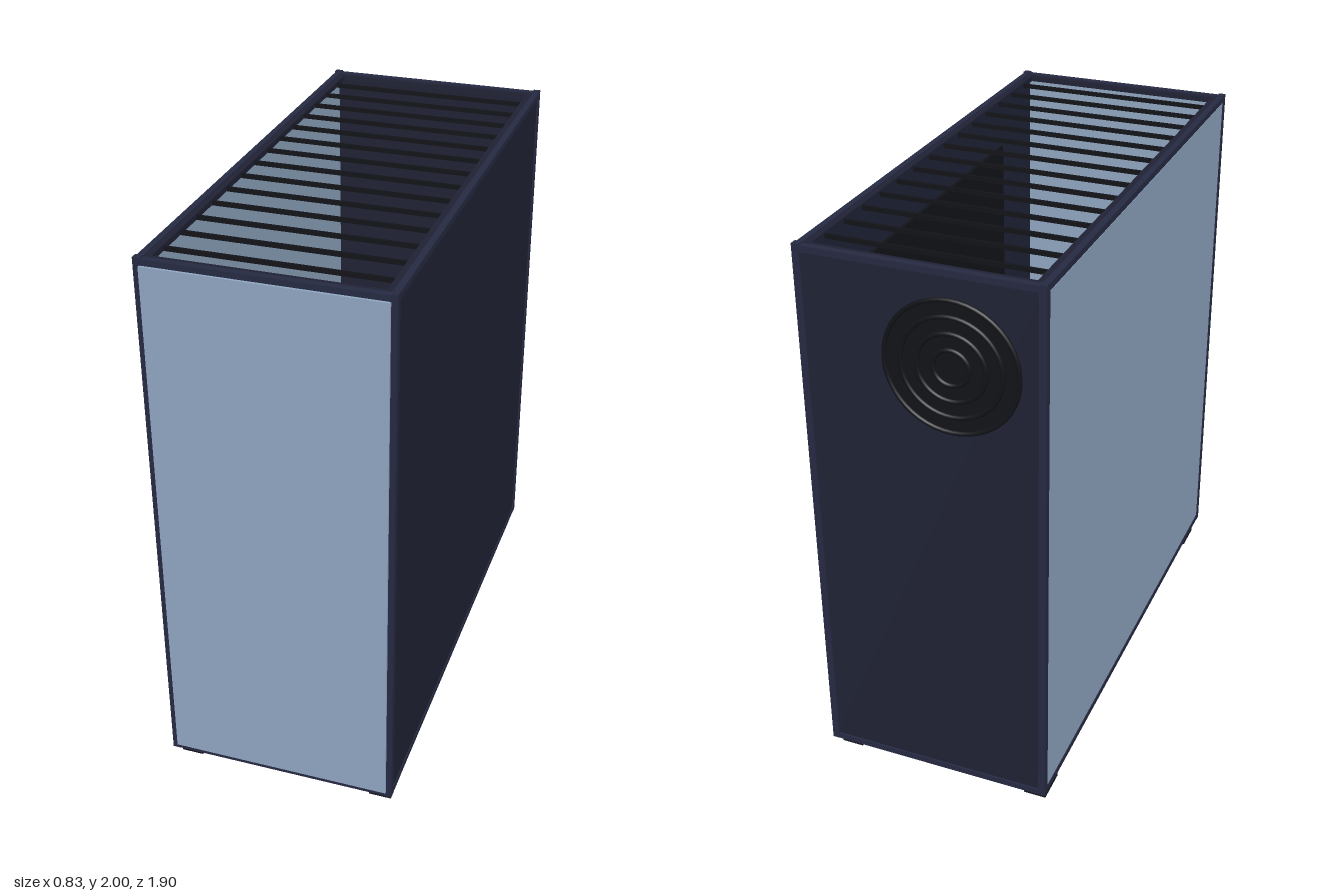
import * as THREE from 'three';

const mat = (color) => new THREE.MeshStandardMaterial({ color });

export function createModel() {
  const model = new THREE.Group();
  const panel = mat(0x1f2235), frame = mat(0x262a42), black = mat(0x121318), glass = mat(0x8fa5c0);

  const add = (name, geometry, material, x, y, z) => {
    const mesh = new THREE.Mesh(geometry, material);
    mesh.name = name;
    mesh.position.set(x, y, z);
    model.add(mesh);
    return mesh;
  };
  // Box given by its lower and upper limits on each axis
  const box = (name, material, [x0, x1], [y0, y1], [z0, z1]) =>
    add(name, new THREE.BoxGeometry(x1 - x0, y1 - y0, z1 - z0), material,
      (x0 + x1) / 2, (y0 + y1) / 2, (z0 + z1) / 2);

  // Solid panels: floor, back and the left side
  box('floorPanel', panel, [-0.4, 0.4], [0.05, 0.075], [-0.93, 0.93]);
  box('backPanel', panel, [-0.4, 0.4], [0.06, 1.98], [-0.935, -0.915]);
  box('leftPanel', panel, [0.39, 0.41], [0.06, 1.98], [-0.93, 0.93]);

  // Glass front and right side
  box('frontGlass', glass, [-0.395, 0.395], [0.07, 1.975], [0.925, 0.95]);
  box('rightGlass', glass, [-0.412, -0.395], [0.075, 1.97], [-0.92, 0.92]);

  // Corner posts and the edge rails between them
  for (const x of [-0.4025, 0.4025]) {
    for (const z of [-0.93, 0.93])
      add('cornerPost', new THREE.BoxGeometry(0.025, 1.95, 0.025), frame, x, 1.025, z);
    for (const y of [0.06, 1.985])
      add('sideRail', new THREE.BoxGeometry(0.022, 0.022, 1.86), frame, x, y, 0);
  }
  for (const z of [-0.93, 0.93])
    for (const y of [0.06, 1.985])
      add('crossRail', new THREE.BoxGeometry(0.8, 0.022, 0.022), frame, 0, y, z);

  // Top rim with an open middle
  const rim = new THREE.Shape([[-0.4, -0.93], [0.4, -0.93], [0.4, 0.93], [-0.4, 0.93]]
    .map(([x, y]) => new THREE.Vector2(x, y)));
  rim.holes.push(new THREE.Path([[-0.37, -0.9], [-0.37, 0.9], [0.37, 0.9], [0.37, -0.9]]
    .map(([x, y]) => new THREE.Vector2(x, y))));
  const rimGeometry = new THREE.ExtrudeGeometry(rim, { depth: 0.02, bevelEnabled: false });
  add('topRim', rimGeometry.rotateX(-Math.PI / 2), panel, 0, 1.973, 0);

  // Vent slats across the top
  for (let i = 0; i < 14; i++)
    add('ventSlat', new THREE.BoxGeometry(0.74, 0.015, 0.01), black, 0, 1.98, -0.8125 + i * 0.125);

  // Interior: board on the left wall and the power supply cover on the floor
  box('mainBoard', black, [0.35, 0.362], [0.5, 1.82], [-0.77, 0.55]);
  box('powerSupplyCover', panel, [-0.37, 0.37], [0.075, 0.42], [-0.865, 0.485]);

  // Round fan grille on the back
  const fan = new THREE.Group();
  fan.name = 'rearFan';
  fan.position.set(-0.105, 1.675, -0.935);
  const disc = new THREE.Mesh(new THREE.CylinderGeometry(0.23, 0.23, 0.014, 48).rotateX(Math.PI / 2), black);
  disc.name = 'fanDisc';
  fan.add(disc);
  for (const radius of [0.06, 0.115, 0.17, 0.225]) {
    const ring = new THREE.Mesh(new THREE.TorusGeometry(radius, 0.008, 8, 48), black);
    ring.name = 'fanRing';
    ring.position.z = -0.007;
    fan.add(ring);
  }
  model.add(fan);

  // Feet
  for (const x of [-0.36, 0.36])
    for (const z of [-0.84, 0.84])
      add('foot', new THREE.BoxGeometry(0.08, 0.05, 0.12), black, x, 0.025, z);

  return model;
}
